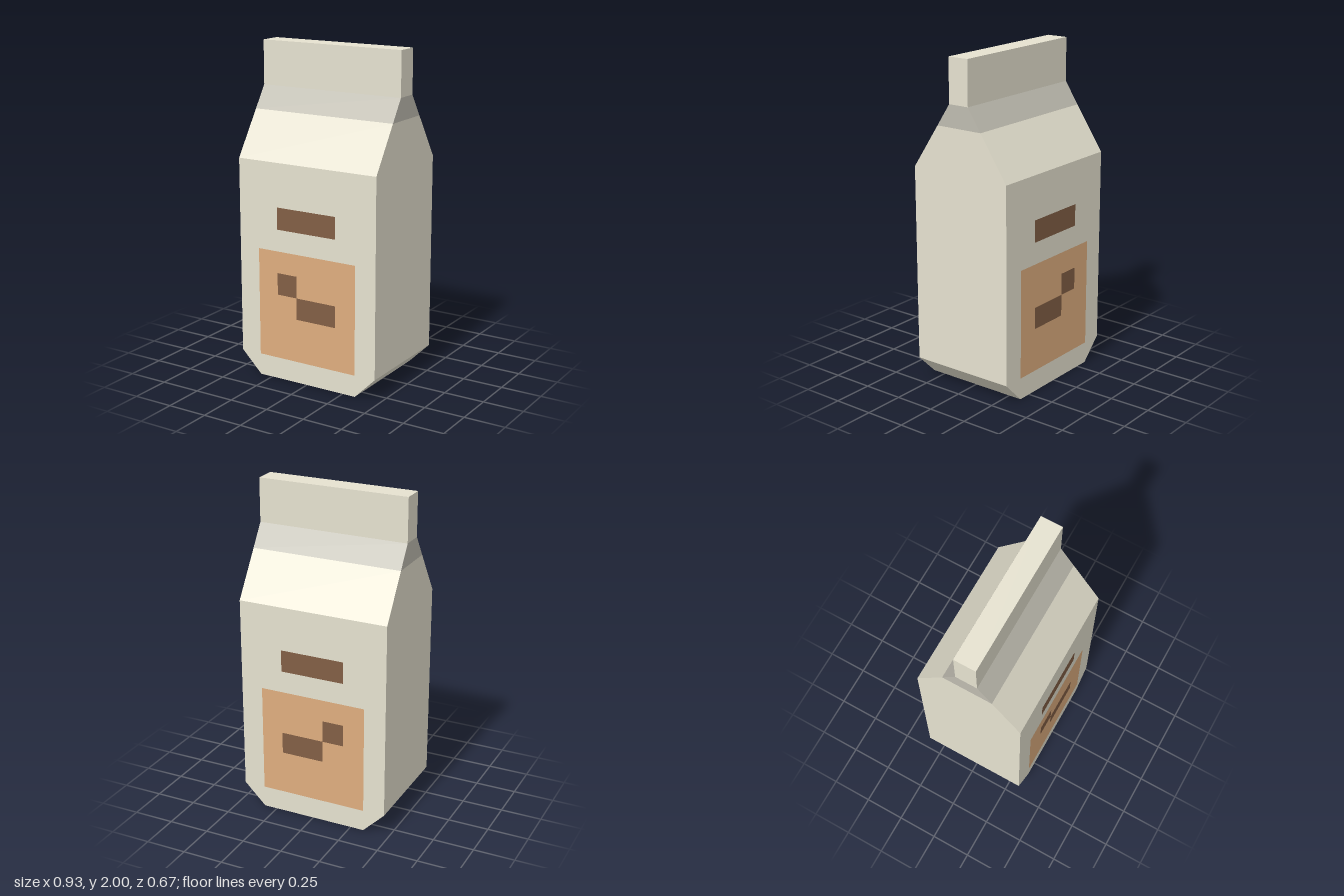
import * as THREE from 'three';

const material = (color) => new THREE.MeshStandardMaterial({ color, flatShading: true });

// Joins rectangular cross-sections [y, half width, half depth], with optional end caps
function loft(sections, capBottom, capTop) {
  const rings = sections.map(([y, w, d]) => [[-w, y, d], [w, y, d], [w, y, -d], [-w, y, -d]]);
  const pos = [];
  const quad = (a, b, c, d) => pos.push(...a, ...b, ...c, ...a, ...c, ...d);
  for (let i = 0; i < rings.length - 1; i++) {
    const lo = rings[i], hi = rings[i + 1];
    for (let k = 0; k < 4; k++) {
      const n = (k + 1) % 4;
      quad(lo[k], lo[n], hi[n], hi[k]);
    }
  }
  if (capBottom) quad(...[...rings[0]].reverse());
  if (capTop) quad(...rings[rings.length - 1]);
  const geometry = new THREE.BufferGeometry();
  geometry.setAttribute('position', new THREE.Float32BufferAttribute(pos, 3));
  geometry.computeVertexNormals();
  return geometry;
}

export function createModel() {
  const carton = new THREE.Group();
  carton.name = 'carton';
  const cream = material(0xe6e2d0);
  const grey = material(0xbfbcb0);
  const tan = material(0xdfae7f);
  const brown = material(0x825f45);
  const W = 0.467, D = 0.333;

  const add = (name, geometry, mat, parent = carton) => {
    const mesh = new THREE.Mesh(geometry, mat);
    mesh.name = name;
    parent.add(mesh);
    return mesh;
  };

  // Carton: chamfered base, body and sloping shoulders, grey band, top fin
  add('body', loft([[0, 0.333, D], [0.133, W, D], [1.333, W, D], [1.6, W, 0.155]], true, false), cream);
  add('shoulderBand', loft([[1.6, W, 0.155], [1.733, W, 0.067]], false, false), grey);
  add('topFin', loft([[1.733, W, 0.067], [2, W, 0.067]], false, true), cream);

  // Printed panels: name, x range, y range, layer, material; mirrored onto the back
  const prints = [
    ['label', -0.333, 0.333, 0.133, 0.8, 1, tan],
    ['titleBar', -0.2, 0.2, 0.933, 1.067, 1, brown],
    ['smallMark', -0.2, -0.067, 0.533, 0.667, 2, brown],
    ['wideMark', -0.067, 0.2, 0.4, 0.533, 2, brown],
  ];
  for (const side of [1, -1]) {
    const panel = new THREE.Group();
    panel.name = side > 0 ? 'frontPrint' : 'backPrint';
    for (const [name, x0, x1, y0, y1, layer, mat] of prints) {
      const mesh = add(name, new THREE.PlaneGeometry(x1 - x0, y1 - y0), mat, panel);
      mesh.position.set((x0 + x1) / 2, (y0 + y1) / 2, side * (D + 0.0015 * layer));
      if (side < 0) mesh.rotation.y = Math.PI;
    }
    carton.add(panel);
  }
  return carton;
}
